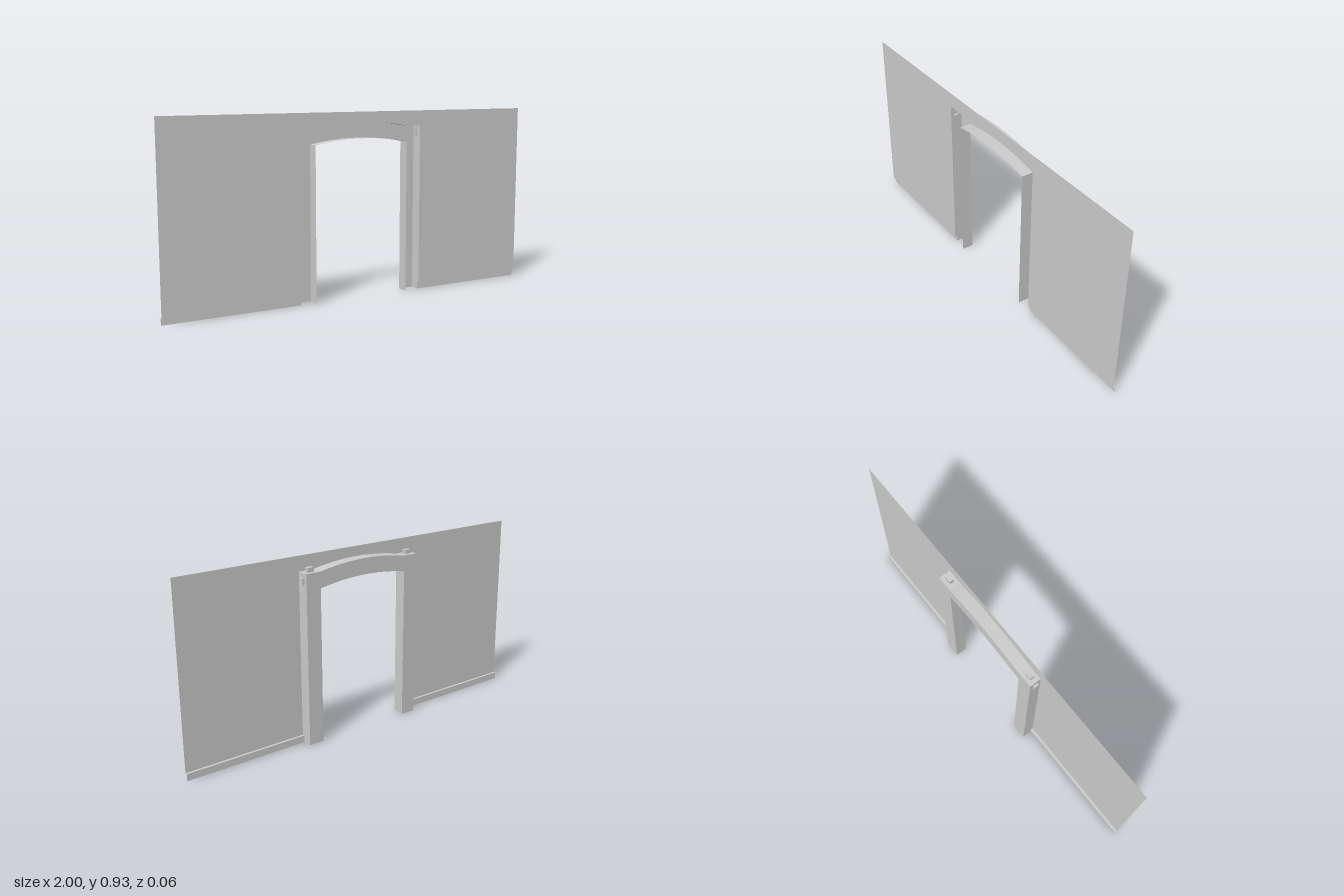
import * as THREE from 'three';

const material = new THREE.MeshStandardMaterial({ color: 0xcccccc, side: THREE.DoubleSide, flatShading: true });

// Opening and frame dimensions
const CX = 0.027, HALF_IN = 0.257, HALF_OUT = 0.337;
const SPRING = 0.775, RISE = 0.025, BAND = 0.08;
const BACK = -0.03, FRONT = 0.03, SKIRT_Z = 0.017, SKIRT_H = 0.035, TOP = 0.93;
const SHELF = SPRING + BAND;

function addMesh(parent, name, geometry) {
  const mesh = new THREE.Mesh(geometry, material);
  mesh.name = name;
  parent.add(mesh);
  return mesh;
}

// Sweeps an open xy line along z into a thin sheet
function sheet(points, z0, z1) {
  const positions = [];
  for (let i = 0; i < points.length - 1; i++) {
    const [ax, ay] = points[i], [bx, by] = points[i + 1];
    positions.push(ax, ay, z0, bx, by, z0, bx, by, z1, ax, ay, z0, bx, by, z1, ax, ay, z1);
  }
  const geometry = new THREE.BufferGeometry();
  geometry.setAttribute('position', new THREE.Float32BufferAttribute(positions, 3));
  geometry.computeVertexNormals();
  return geometry;
}

// Shallow arch from left to right
function arch(baseY, steps = 12) {
  return Array.from({ length: steps + 1 }, (_, i) => {
    const t = (i / steps) * 2 - 1;
    return [CX + t * HALF_IN, baseY + RISE * (1 - t * t)];
  });
}

const toShape = (points) => new THREE.Shape(points.map(([x, y]) => new THREE.Vector2(x, y)));
const flat = (points) => new THREE.ShapeGeometry(toShape(points));
const rect = (cx, cy, w, h) => [
  [cx - w / 2, cy - h / 2], [cx + w / 2, cy - h / 2], [cx + w / 2, cy + h / 2], [cx - w / 2, cy + h / 2],
];

// Flat panel with a rectangular hole
function panelWithHole(outline, hole) {
  const shape = toShape(outline);
  shape.holes.push(toShape(hole));
  return new THREE.ShapeGeometry(shape);
}

// Hollow peg, open at its root, projecting along +z
function makePeg(name, w, h, depth) {
  const peg = new THREE.Group();
  peg.name = name;
  const outline = rect(0, 0, w, h);
  addMesh(peg, 'pegSides', sheet([...outline, outline[0]], 0, depth));
  addMesh(peg, 'pegCap', flat(outline)).position.z = depth;
  return peg;
}

export function createModel() {
  const model = new THREE.Group();
  model.name = 'archedDoorwayWall';
  const xl = CX - HALF_OUT, xr = CX + HALF_OUT;
  const inner = [[CX - HALF_IN, 0], ...arch(SPRING), [CX + HALF_IN, 0]];
  const outerTop = [[xl, SHELF], ...arch(SHELF), [xr, SHELF]];

  // Thin wall sheet with the doorway cut out
  addMesh(model, 'wall', flat([
    [-1, SKIRT_H], [xl, SKIRT_H], ...outerTop, [xr, SKIRT_H], [1, SKIRT_H], [1, TOP], [-1, TOP],
  ])).position.z = FRONT;

  // Frame channel, open to the front and at its feet
  const frame = new THREE.Group();
  frame.name = 'doorFrame';
  model.add(frame);
  addMesh(frame, 'frameBack', flat([[xl, 0], ...outerTop, [xr, 0], ...[...inner].reverse()])).position.z = BACK;
  addMesh(frame, 'openingLining', sheet(inner, BACK, FRONT));
  addMesh(frame, 'archTop', sheet(arch(SHELF), BACK, FRONT));

  for (const side of [-1, 1]) {
    const x = CX + side * HALF_OUT, label = side > 0 ? 'left' : 'right';

    // Recessed skirting with its ledge
    const skirt = addMesh(model, label + 'Skirting', flat([
      [x, 0], [side, 0], [side, SKIRT_H], [x, SKIRT_H],
    ]));
    skirt.position.z = SKIRT_Z;
    addMesh(model, label + 'SkirtingLedge', sheet([[x, SKIRT_H], [side, SKIRT_H]], SKIRT_Z, FRONT));

    // Outer frame side, notched over the skirting and pierced for its peg
    const sidePanel = addMesh(frame, label + 'FrameSide', panelWithHole([
      [-SKIRT_Z, 0], [-BACK, 0], [-BACK, SHELF], [-FRONT, SHELF], [-FRONT, SKIRT_H], [-SKIRT_Z, SKIRT_H],
    ], rect(0, 0.815, 0.026, 0.034)));
    sidePanel.rotation.y = Math.PI / 2;
    sidePanel.position.x = x;

    const sidePeg = makePeg(label + 'SidePeg', 0.026, 0.034, 0.011);
    sidePeg.rotation.y = side * Math.PI / 2;
    sidePeg.position.set(x, 0.815, 0);
    frame.add(sidePeg);

    // Flat shoulder pierced for the upright peg
    const mid = CX + side * (HALF_IN + HALF_OUT) / 2;
    const shoulder = addMesh(frame, label + 'Shoulder', panelWithHole(
      rect(0, 0, HALF_OUT - HALF_IN, FRONT - BACK), rect(0, 0, 0.034, 0.023)));
    shoulder.rotation.x = -Math.PI / 2;
    shoulder.position.set(mid, SHELF, 0);

    const topPeg = makePeg(label + 'TopPeg', 0.034, 0.023, 0.022);
    topPeg.rotation.x = -Math.PI / 2;
    topPeg.position.set(mid, SHELF, 0);
    frame.add(topPeg);
  }
  return model;
}
